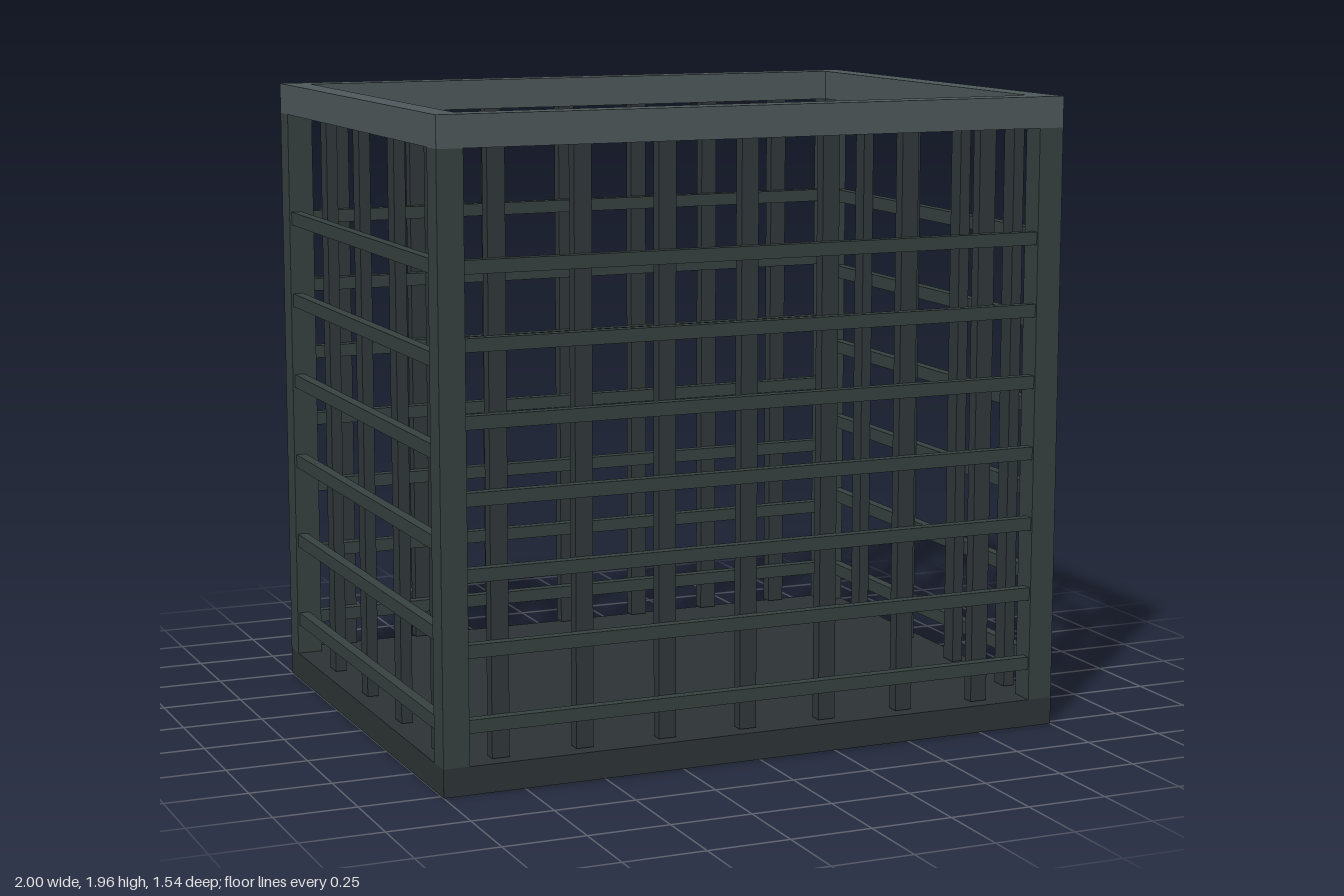
import * as THREE from 'three';

const paint = (color) => new THREE.MeshStandardMaterial({ color });

export function createModel() {
  const model = new THREE.Group();
  model.name = 'openCrate';
  const rimPaint = paint(0x4e585a);
  const postPaint = paint(0x374140);
  const barPaint = paint(0x31383a);
  const floorPaint = paint(0x2d3335);

  // Box given by its two extents on each axis
  function box(parent, name, material, [x0, x1], [y0, y1], [z0, z1]) {
    const mesh = new THREE.Mesh(new THREE.BoxGeometry(x1 - x0, y1 - y0, z1 - z0), material);
    mesh.position.set((x0 + x1) / 2, (y0 + y1) / 2, (z0 + z1) / 2);
    mesh.name = name;
    parent.add(mesh);
  }
  const around = (centre, size) => [centre - size / 2, centre + size / 2];

  const back = -0.765, front = 0.77;
  const floorTop = 0.085, rimBottom = 1.86, rimTop = 1.955;
  const rail = 0.08;

  // Solid floor slab
  box(model, 'floor', floorPaint, [-1, 1], [0, floorTop], [back, front]);

  // Top rim: a rectangular ring
  const outline = new THREE.Shape();
  outline.moveTo(-1, -front).lineTo(1, -front).lineTo(1, -back).lineTo(-1, -back).closePath();
  const opening = new THREE.Path();
  const ix = 1 - rail, iz0 = -front + rail, iz1 = -back - rail;
  opening.moveTo(-ix, iz0).lineTo(-ix, iz1).lineTo(ix, iz1).lineTo(ix, iz0).closePath();
  outline.holes.push(opening);
  const rimGeometry = new THREE.ExtrudeGeometry(outline, { depth: rimTop - rimBottom, bevelEnabled: false });
  rimGeometry.rotateX(-Math.PI / 2);
  const rim = new THREE.Mesh(rimGeometry, rimPaint);
  rim.position.y = rimBottom;
  rim.name = 'topRim';
  model.add(rim);

  // Corner posts
  for (const x of [[-1, -1 + rail], [1 - rail, 1]])
    for (const z of [[back, back + rail], [front - rail, front]])
      box(model, 'cornerPost', postPaint, x, [floorTop, rimBottom], z);

  // Front and back grilles: the back uprights stand slightly proud of the frame
  const walls = [
    { name: 'frontGrille', upright: [0.69, 0.73], cross: [0.73, 0.763] },
    { name: 'backGrille', upright: [-0.775, -0.735], cross: [-0.735, -0.7] },
  ];
  for (const wall of walls) {
    const grille = new THREE.Group();
    grille.name = wall.name;
    model.add(grille);
    for (let i = 0; i < 7; i++) {
      box(grille, 'uprightBar', barPaint, around(-0.81 + i * 0.2625, 0.054), [0.088, rimBottom], wall.upright);
      box(grille, 'crossBar', postPaint, [-ix, ix], around(0.2 + i * 0.221, 0.04), wall.cross);
    }
  }

  // Side grilles, mirrored left and right
  for (const side of [1, -1]) {
    const grille = new THREE.Group();
    grille.name = side > 0 ? 'leftGrille' : 'rightGrille';
    model.add(grille);
    const span = (a, b) => (side > 0 ? [a, b] : [-b, -a]);
    for (let i = 0; i < 4; i++)
      box(grille, 'uprightBar', barPaint, span(0.925, 0.96), [0.088, rimBottom], around(0.578 - i * 0.335, 0.06));
    for (let i = 0; i < 6; i++)
      box(grille, 'crossBar', postPaint, span(0.96, 0.993), around(0.2 + i * 0.265, 0.042), [back + rail, front - rail]);
  }
  return model;
}
